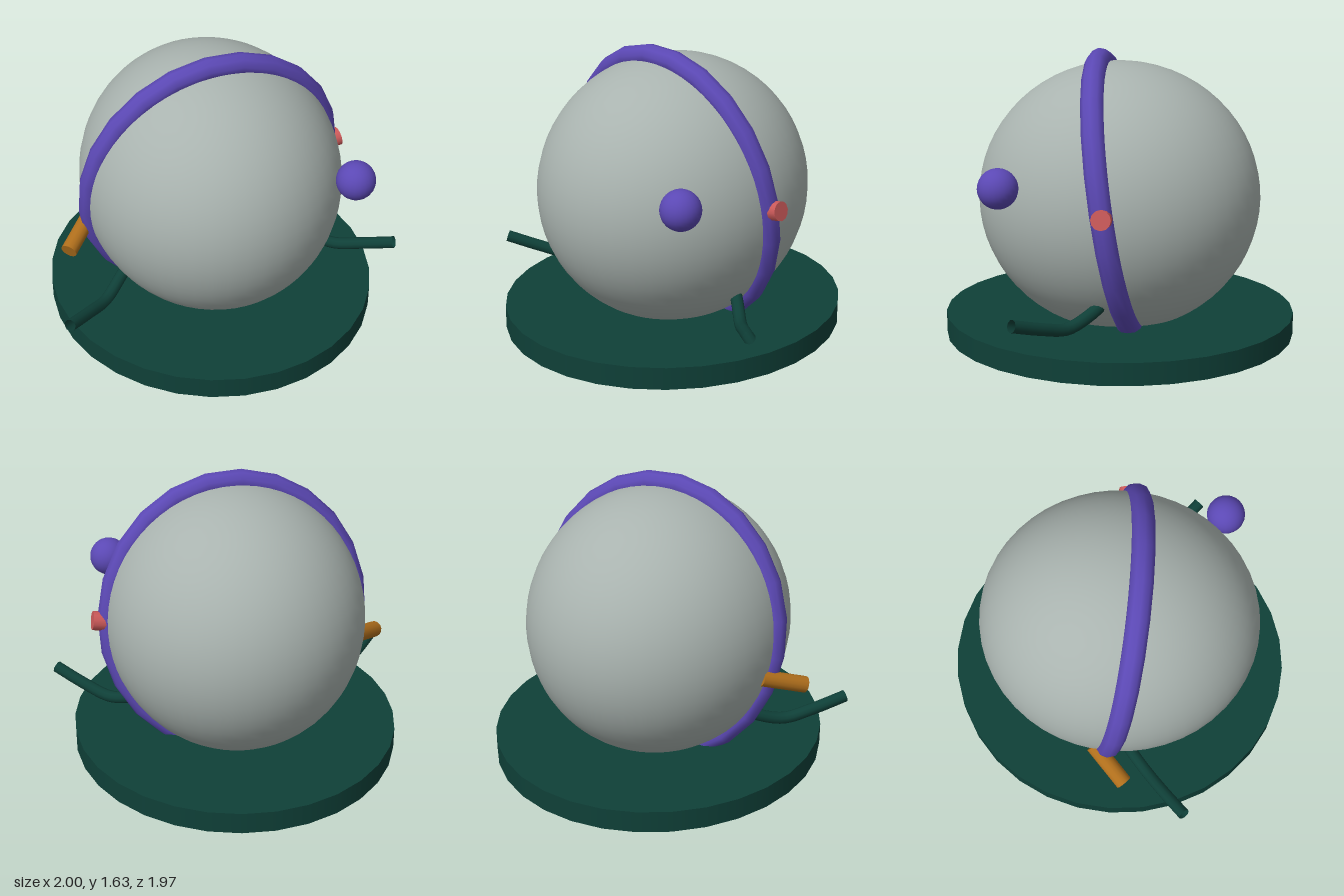
import * as THREE from 'three';

const mat = (name, color, side = THREE.FrontSide) => {
  const m = new THREE.MeshStandardMaterial({ color, side });
  m.name = name;
  return m;
};

export function createModel() {
  const model = new THREE.Group();
  model.name = 'model';
  const grey = mat('palegrey', 0xa9b3af);
  const purple = mat('purple', 0x5b48b4);
  const green = mat('darkGreen', 0x0f4038, THREE.DoubleSide);
  const orange = mat('orange', 0xb06f1c);
  const pink = mat('coralPink', 0xcc5a5a);

  const add = (name, geometry, material, x = 0, y = 0, z = 0) => {
    const mesh = new THREE.Mesh(geometry, material);
    mesh.name = name;
    mesh.position.set(x, y, z);
    model.add(mesh);
    return mesh;
  };

  // Straight solid rod between two points
  const rod = (name, a, b, radius, sides, material) => {
    const from = new THREE.Vector3(...a), to = new THREE.Vector3(...b);
    const dir = to.clone().sub(from);
    const mesh = add(name, new THREE.CylinderGeometry(radius, radius, dir.length(), sides), material);
    mesh.position.copy(from).add(to).multiplyScalar(0.5);
    mesh.quaternion.setFromUnitVectors(new THREE.Vector3(0, 1, 0), dir.normalize());
  };

  // Round body, slightly longer front to back
  add('body', new THREE.SphereGeometry(1, 48, 32).scale(0.726, 0.755, 0.786), grey, 0, 0.822, 0);

  // Oval base disc
  add('base', new THREE.CylinderGeometry(1, 1, 0.124, 32).scale(0.925, 1, 0.985), green, 0, 0.106, 0);

  // Tilted band wrapped over the body
  const band = new THREE.TorusGeometry(0.767, 0.063, 10, 24);
  band.rotateZ(THREE.MathUtils.degToRad(5)).scale(0.928, 1, 1);
  band.rotateX(THREE.MathUtils.degToRad(8.7));
  add('band', band, purple, 0, 0.823, 0);

  // Ball nose on the front left
  add('ball', new THREE.SphereGeometry(0.108, 24, 16), purple, 0.62, 0.985, 0.562);

  // Side button and spout
  rod('button', [0.68, 0.857, 0], [0.797, 0.877, 0], 0.053, 12, pink);
  rod('spout', [-0.68, 0.655, -0.1], [-0.863, 0.575, 0.08], 0.046, 14, orange);

  // Mirrored curved arms
  for (const s of [1, -1]) {
    const curve = new THREE.CatmullRomCurve3([
      [0.51, 0.345, 0.03], [0.58, 0.305, 0.085], [0.70, 0.262, 0.19], [0.83, 0.3, 0.3], [0.975, 0.36, 0.43],
    ].map(([x, y, z]) => new THREE.Vector3(s * x, y, z)));
    add(s > 0 ? 'leftArm' : 'rightArm', new THREE.TubeGeometry(curve, 16, 0.034, 10), green);
  }

  return model;
}
